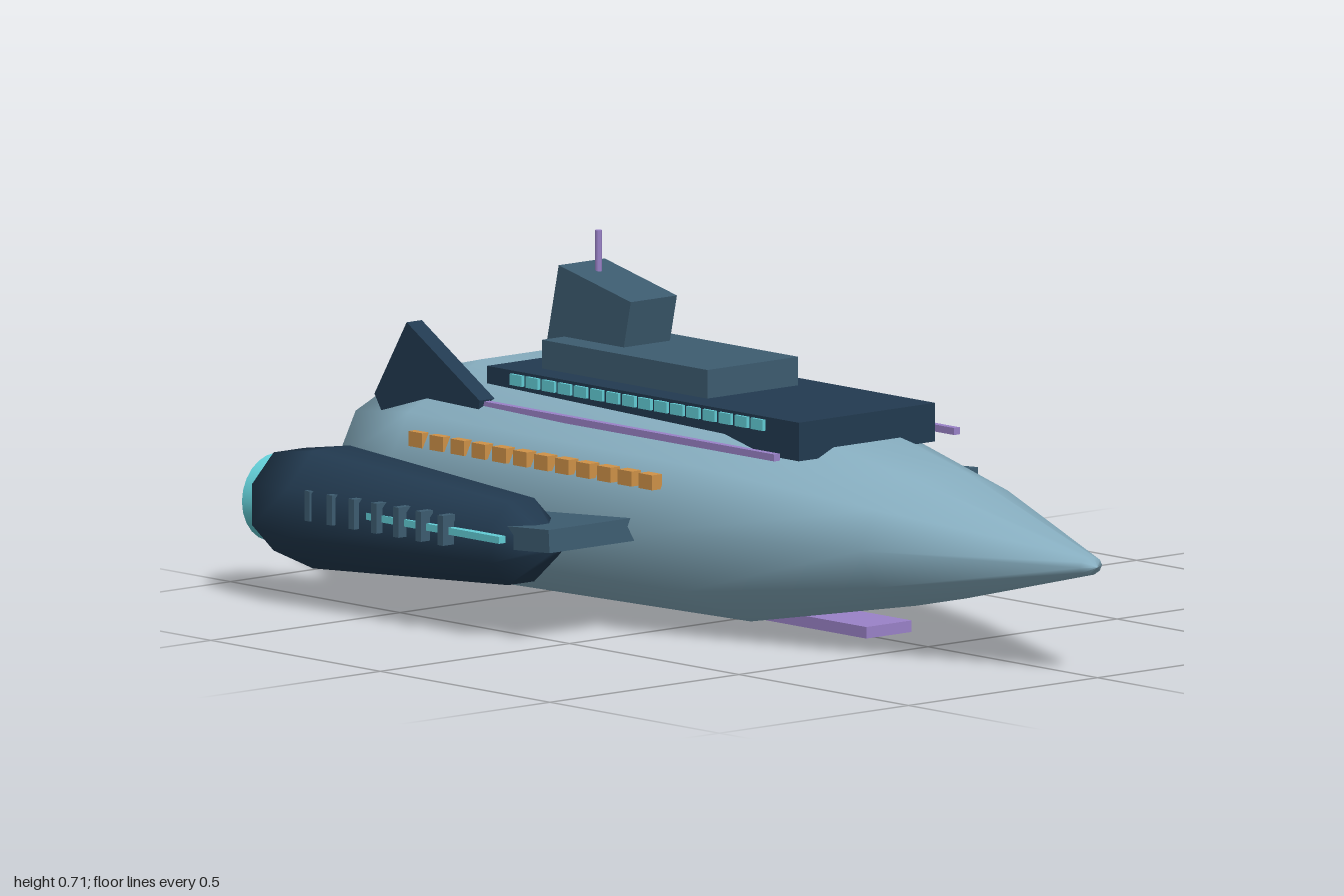
import * as THREE from 'three';

function mat(name, color) {
  const m = new THREE.MeshStandardMaterial({ color });
  m.name = name;
  return m;
}

export function createModel() {
  const hullBlue = mat('hullBlue', 0x87aec0);
  const darkNavy = mat('darkNavy', 0x223a50);
  const slate = mat('slate', 0x3d5c70);
  const cyan = mat('cyan', 0x62cdd6);
  const orange = mat('orange', 0xcf9248);
  const purple = mat('purple', 0x9a82c8);

  const model = new THREE.Group();
  model.name = 'ship';

  function add(name, geometry, material, x = 0, y = 0, z = 0, parent = model) {
    const mesh = new THREE.Mesh(geometry, material);
    mesh.name = name;
    mesh.position.set(x, y, z);
    parent.add(mesh);
    return mesh;
  }
  // Box given by its limits along each axis
  function box(name, material, x0, x1, y0, y1, z0, z1, parent = model) {
    return add(name, new THREE.BoxGeometry(x1 - x0, y1 - y0, z1 - z0), material,
      (x0 + x1) / 2, (y0 + y1) / 2, (z0 + z1) / 2, parent);
  }
  // Lathe lying along x, from [x, radius] stations
  function spindle(stations, sides, turn = 0) {
    const points = stations.map(([x, r]) => new THREE.Vector2(r, x));
    return new THREE.LatheGeometry(points, sides, turn).rotateZ(-Math.PI / 2);
  }

  // Ten-sided hull, flattened in height
  const hull = spindle([[-1, 0], [-0.94, 0.275], [-0.69, 0.38], [0.1, 0.357],
    [0.54, 0.217], [0.98, 0.03], [1, 0]], 10);
  hull.scale(1, 0.608, 1);
  add('hull', hull, hullBlue, 0, 0.22, 0);

  // Upper deck, superstructure, leaning bridge and mast
  box('deck', darkNavy, -0.6, 0.32, 0.368, 0.445, -0.18, 0.18);
  box('superstructure', slate, -0.505, -0.017, 0.44, 0.502, -0.12, 0.12);
  const bridge = add('bridge', new THREE.BoxGeometry(0.218, 0.157, 0.122), slate, -0.432, 0.542, 0);
  bridge.rotation.z = -0.22;
  add('mast', new THREE.CylinderGeometry(0.007, 0.007, 0.12, 8), purple, -0.472, 0.652, 0);

  // Keel plate
  box('keelPlate', purple, -0.1, 0.385, 0.009, 0.032, -0.06, 0.06);

  // Cross wing carrying both engine pods, slightly nose up
  const wing = add('wing', new THREE.BoxGeometry(0.8, 0.046, 1.135), slate, -0.384, 0.189, 0);
  wing.rotation.z = 0.06;

  // Aft fin outline
  const finShape = new THREE.Shape([[-0.845, 0.368], [-0.82, 0.33], [-0.54, 0.365],
    [-0.535, 0.392], [-0.75, 0.522]].map(([x, y]) => new THREE.Vector2(x, y)));
  const fin = new THREE.ExtrudeGeometry(finShape, { depth: 0.04, bevelEnabled: false });
  fin.translate(0, 0, -0.02);

  const podBody = spindle([[-0.815, 0], [-0.815, 0.106], [-0.69, 0.127], [-0.13, 0.09],
    [-0.02, 0.012], [-0.015, 0]], 8, Math.PI / 8);
  const glow = new THREE.CylinderGeometry(0.082, 0.088, 0.045, 24).rotateZ(-Math.PI / 2);

  for (const side of [1, -1]) {
    const half = new THREE.Group();
    half.name = side > 0 ? 'frontFlank' : 'rearFlank';
    model.add(half);

    add('aftFin', fin, darkNavy, 0, 0, side * 0.238, half);
    add('trimRail', new THREE.BoxGeometry(0.92, 0.014, 0.015), purple, -0.14, 0.382, side * 0.238, half);

    // Engine pod with glow, cooling ribs and light strip
    add('enginePod', podBody, darkNavy, 0, 0.189, side * 0.511, half);
    add('engineGlow', glow, cyan, -0.833, 0.189, side * 0.511, half);
    for (let i = 0; i < 7; i++) {
      add('coolingRib', new THREE.BoxGeometry(0.016, 0.06, 0.032), slate,
        -0.63 + i * 0.0655, 0.211, side * 0.613, half);
    }
    add('podLight', new THREE.BoxGeometry(0.42, 0.014, 0.018), cyan, -0.29, 0.209, side * 0.606, half);

    // Deck windows
    for (let i = 0; i < 16; i++) {
      add('deckWindow', new THREE.BoxGeometry(0.036, 0.022, 0.008), cyan,
        -0.508 + i * 0.0474, 0.428, side * 0.183, half);
    }
    // Hull portholes
    for (let i = 0; i < 12; i++) {
      add('porthole', new THREE.BoxGeometry(0.04, 0.03, 0.026), orange,
        -0.634 + i * 0.0617, 0.311, side * 0.326, half);
    }
  }
  return model;
}
